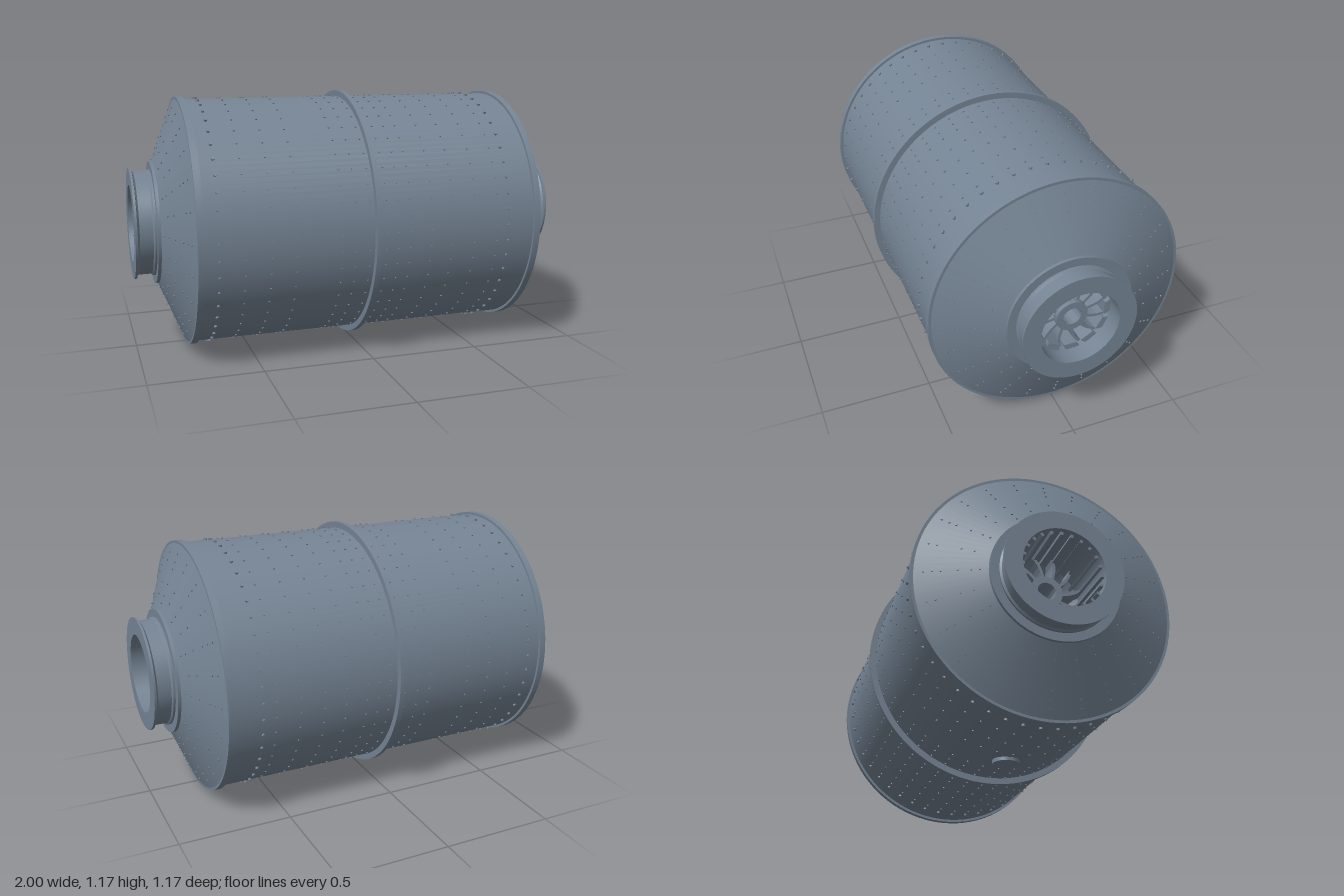
import * as THREE from 'three';
import { mergeGeometries, toCreasedNormals } from 'three/addons/utils/BufferGeometryUtils.js';

const R = 0.557;          // drum radius
const AXIS_Y = 0.586;     // height of the drum axis

const steel = new THREE.MeshStandardMaterial({ color: 0x758494 });
steel.name = 'slate steel';

function add(parent, geometry, name) {
  const mesh = new THREE.Mesh(geometry, steel);
  mesh.name = name;
  parent.add(mesh);
  return mesh;
}

// Revolve [x, radius] points around the x axis; ascending x faces outwards.
function turned(points, segments = 96) {
  const g = new THREE.LatheGeometry(points.map(([x, r]) => new THREE.Vector2(r, x)), segments);
  g.rotateZ(-Math.PI / 2);
  return toCreasedNormals(g, 0.5);
}

// Closed ring of rectangular section.
const ring = (x0, x1, inner, outer) =>
  turned([[x0, inner], [x0, outer], [x1, outer], [x1, inner], [x0, inner]]);

// Bolt whose axis lies in the x/y plane, then spun around the x axis.
function bolt(x, r, angle, size, height, tilt = 0) {
  const g = new THREE.CylinderGeometry(size, size, height, 6);
  g.rotateZ(-tilt);
  g.translate(x, r, 0);
  g.rotateX(angle);
  return g;
}

// Curved vane section in the y/z plane, extruded along the axis.
function vane(x0, x1, r0, r1, sweep, thickness, angle) {
  const near = [], far = [];
  for (let i = 0; i <= 5; i++) {
    const t = i / 5, r = r0 + (r1 - r0) * t, a = sweep * t * t;
    const half = thickness / 2 / r;
    near.push(new THREE.Vector2(r * Math.cos(a - half), r * Math.sin(a - half)));
    far.unshift(new THREE.Vector2(r * Math.cos(a + half), r * Math.sin(a + half)));
  }
  const g = new THREE.ExtrudeGeometry(new THREE.Shape([...near, ...far]),
    { depth: x1 - x0, bevelEnabled: false });
  g.rotateY(Math.PI / 2);
  g.translate(x0, 0, 0);
  g.rotateX(angle);
  return g;
}

// Conical head, trunnion and bore fittings, built for the +x end.
function buildEnd(name, feedEnd) {
  const end = new THREE.Group();
  end.name = name;

  add(end, ring(0.75, 0.78, 0.54, 0.569), 'headFlange');
  add(end, turned([[0.778, 0.562], [0.893, 0.28], [0.907, 0.28], [0.907, 0.2]]), 'conicalHead');
  add(end, turned([
    [0.9, 0.243], [0.916, 0.243], [0.922, 0.235], [0.98, 0.235], [0.988, 0.243],
    [0.99, 0.253], [1, 0.253], [1, 0.175], [0.6, 0.175],
  ]), 'trunnion');

  // Throat wall closing the bore around the central pipe
  add(end, turned([[0.72, 0.175], [0.6, 0.06]], 64), 'throatWall');
  const front = feedEnd ? 0.92 : 0.8;
  add(end, turned([
    [0.58, 0.04], [0.58, 0.06], [front - 0.03, 0.06], [front - 0.03, 0.07],
    [front, 0.07], [front, 0.04], [0.58, 0.04],
  ], 48), 'centralPipe');

  // Swirled vanes between pipe and bore
  const vanes = [], ribs = [];
  for (let i = 0; i < 12; i++) {
    const a = i * Math.PI / 6 + 0.1;
    vanes.push(vane(0.62, front - 0.02, 0.058, 0.172, 0.2, 0.013, a));
  }
  add(end, mergeGeometries(vanes), 'boreVanes');

  // Bore liner: stepped segments or lengthwise ribs
  const count = feedEnd ? 12 : 24;
  for (let i = 0; i < count; i++) {
    const a = i * Math.PI * 2 / count;
    ribs.push(feedEnd
      ? vane(0.7, 0.92, 0.15, 0.176, 0.08, 0.06, a)
      : vane(0.7, 0.98, 0.16, 0.177, 0, 0.012, a));
  }
  add(end, mergeGeometries(ribs), 'boreLiner');

  // Bolts in radial rows on the cone
  const slope = Math.atan2(0.282, 0.115);
  const bolts = [];
  for (let i = 0; i < 24; i++) {
    const radii = i % 2 ? [0.52, 0.487, 0.393, 0.343] : [0.52, 0.487, 0.456, 0.393, 0.343, 0.311];
    for (const r of radii) {
      const x = 0.778 + 0.115 * (0.562 - r) / 0.282;
      bolts.push(bolt(x, r, i * Math.PI / 12, 0.0045, 0.01, slope));
    }
  }
  add(end, mergeGeometries(bolts), 'headBolts');
  return end;
}

export function createModel() {
  const model = new THREE.Group();
  model.name = 'grindingMill';
  const mill = new THREE.Group();
  mill.name = 'rotatingDrum';
  mill.position.y = AXIS_Y;
  model.add(mill);

  // Cylindrical shell and centre flange
  add(mill, turned([[-0.77, R], [0.77, R]], 128), 'drumShell');
  add(mill, ring(-0.016, 0.006, 0.54, 0.585), 'centreFlange');

  // Liner bolts around the shell
  const rows = [-0.58, -0.47, -0.36, -0.16, -0.1, -0.035, 0.04, 0.095, 0.15, 0.25, 0.35, 0.46, 0.57];
  const small = [], large = [];
  for (let i = 0; i < 48; i++) {
    const a = i * Math.PI / 24;
    for (const x of rows) small.push(bolt(x, R + 0.001, a, 0.0045, 0.008));
    for (const x of [-0.69, 0.627]) large.push(bolt(x, R + 0.002, a, 0.0075, 0.014));
  }
  add(mill, mergeGeometries(small), 'shellBolts');
  add(mill, mergeGeometries(large), 'endRowBolts');

  // Round manhole cover under the shell
  const cover = add(mill, toCreasedNormals(new THREE.CylinderGeometry(0.061, 0.061, 0.03, 40), 0.5), 'manholeCover');
  cover.position.set(-0.26, -R + 0.001, 0);

  // Both ends
  mill.add(buildEnd('dischargeEnd', true));
  const feed = buildEnd('feedEnd', false);
  feed.rotation.y = Math.PI;
  mill.add(feed);
  return model;
}
